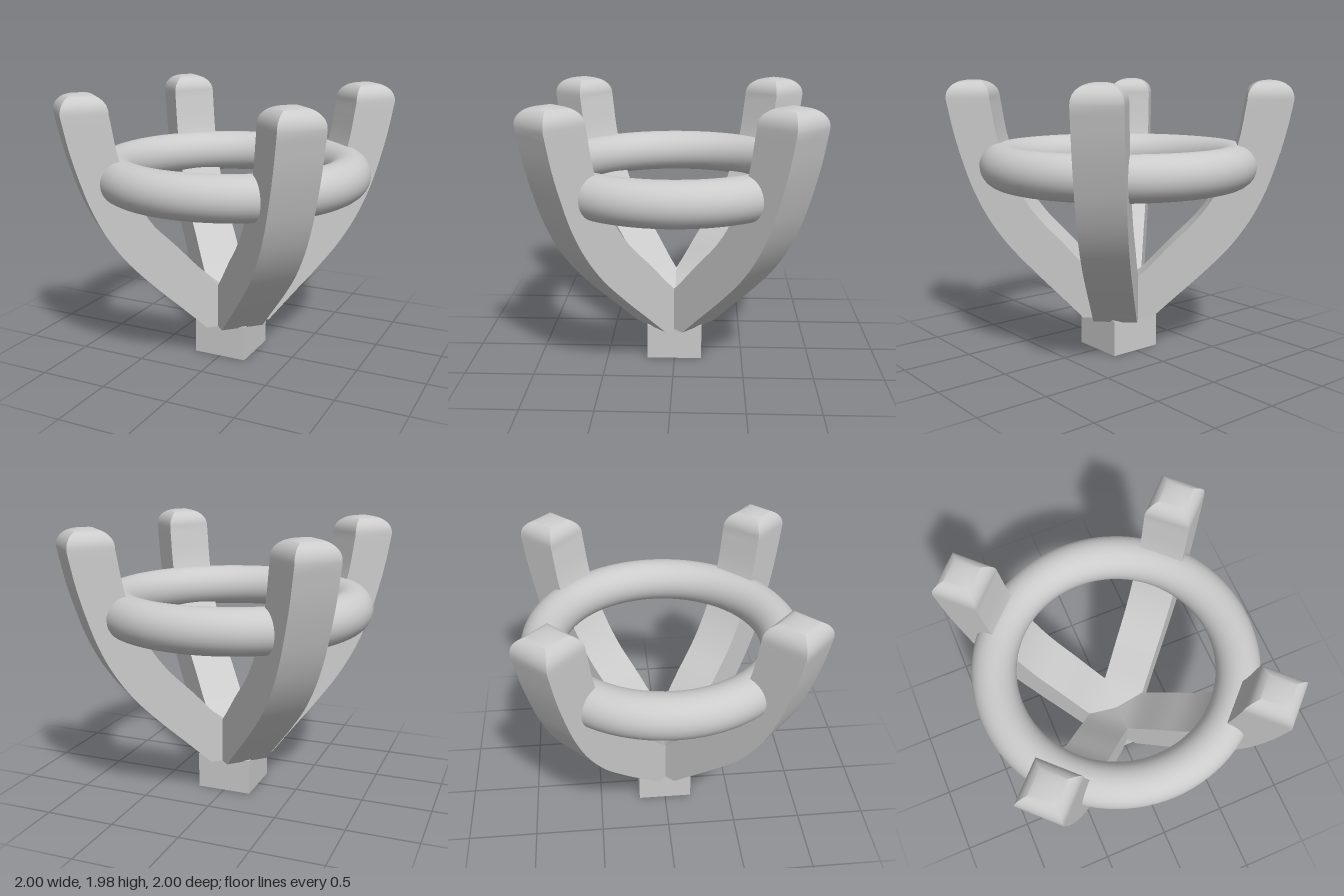
import * as THREE from 'three';
import { toCreasedNormals } from 'three/addons/utils/BufferGeometryUtils.js';

const material = new THREE.MeshStandardMaterial({ color: 0xcccccc });
const HALF = 0.159; // half the thickness of a prong

const spline = (points) =>
  new THREE.CatmullRomCurve3(points.map(([r, y]) => new THREE.Vector3(r, y, 0)), false, 'centripetal');

// Horizontal-radius / height curves of a prong's outer and inner faces
const outer = spline([[0.25, 0.25], [0.407, 0.4], [0.619, 0.6], [0.81, 0.8], [0.951, 1.0],
  [1.05, 1.2], [1.12, 1.4], [1.177, 1.6], [1.227, 1.84]]);
const inner = spline([[0, 0.45], [0.159, 0.565], [0.385, 0.8], [0.58, 1.0],
  [0.725, 1.215], [0.848, 1.52], [0.909, 1.84]]);

// Square prong swept along +x, made from four-cornered rings
function prongGeometry() {
  const rings = [];
  const addRing = (o, i, h) => rings.push([
    [o.x, o.y, h], [o.x, o.y, -h], [i.x, i.y, -h], [i.x, i.y, h]]);

  // flat foot, then the curved shaft
  addRing({ x: 0.244, y: 0.245 }, { x: 0, y: 0.245 }, HALF);
  const steps = 32;
  for (let k = 0; k <= steps; k++) {
    addRing(outer.getPointAt(k / steps), inner.getPointAt(k / steps), HALF);
  }

  // domed tip: the square shrinks along a rounded profile
  const mid = (1.227 + 0.909) / 2;
  const domeSteps = 14;
  for (let k = 1; k <= domeSteps; k++) {
    const t = (k / domeSteps) * Math.PI / 2;
    const h = HALF * Math.pow(Math.max(Math.cos(t), 0), 0.87);
    const y = 1.84 + 0.135 * Math.pow(Math.sin(t), 0.87);
    addRing({ x: mid + h, y }, { x: mid - h, y }, h);
  }

  const positions = [];
  const quad = (a, b, c, d) => positions.push(...a, ...b, ...c, ...a, ...c, ...d);
  for (let k = 0; k < rings.length - 1; k++) {
    for (let j = 0; j < 4; j++) {
      const n = (j + 1) % 4;
      quad(rings[k][j], rings[k][n], rings[k + 1][n], rings[k + 1][j]);
    }
  }
  quad(...[...rings[0]].reverse());

  const geometry = new THREE.BufferGeometry();
  geometry.setAttribute('position', new THREE.Float32BufferAttribute(positions, 3));
  return toCreasedNormals(geometry, 0.6);
}

export function createModel() {
  const model = new THREE.Group();
  model.name = 'prongSetting';

  const add = (name, geometry) => {
    const mesh = new THREE.Mesh(geometry, material);
    mesh.name = name;
    model.add(mesh);
    return mesh;
  };

  // Square base block
  add('base', new THREE.BoxGeometry(0.4, 0.26, 0.4)).position.y = 0.13;

  // Ring held between the prongs
  const ring = add('ring', new THREE.TorusGeometry(0.845, 0.155, 32, 96));
  ring.rotation.x = Math.PI / 2;
  ring.position.y = 1.37;

  // Four prongs on the diagonals
  const prong = prongGeometry();
  ['backLeftProng', 'backRightProng', 'frontRightProng', 'frontLeftProng'].forEach((name, k) => {
    add(name, prong).rotation.y = Math.PI / 4 + k * Math.PI / 2;
  });

  return model;
}
